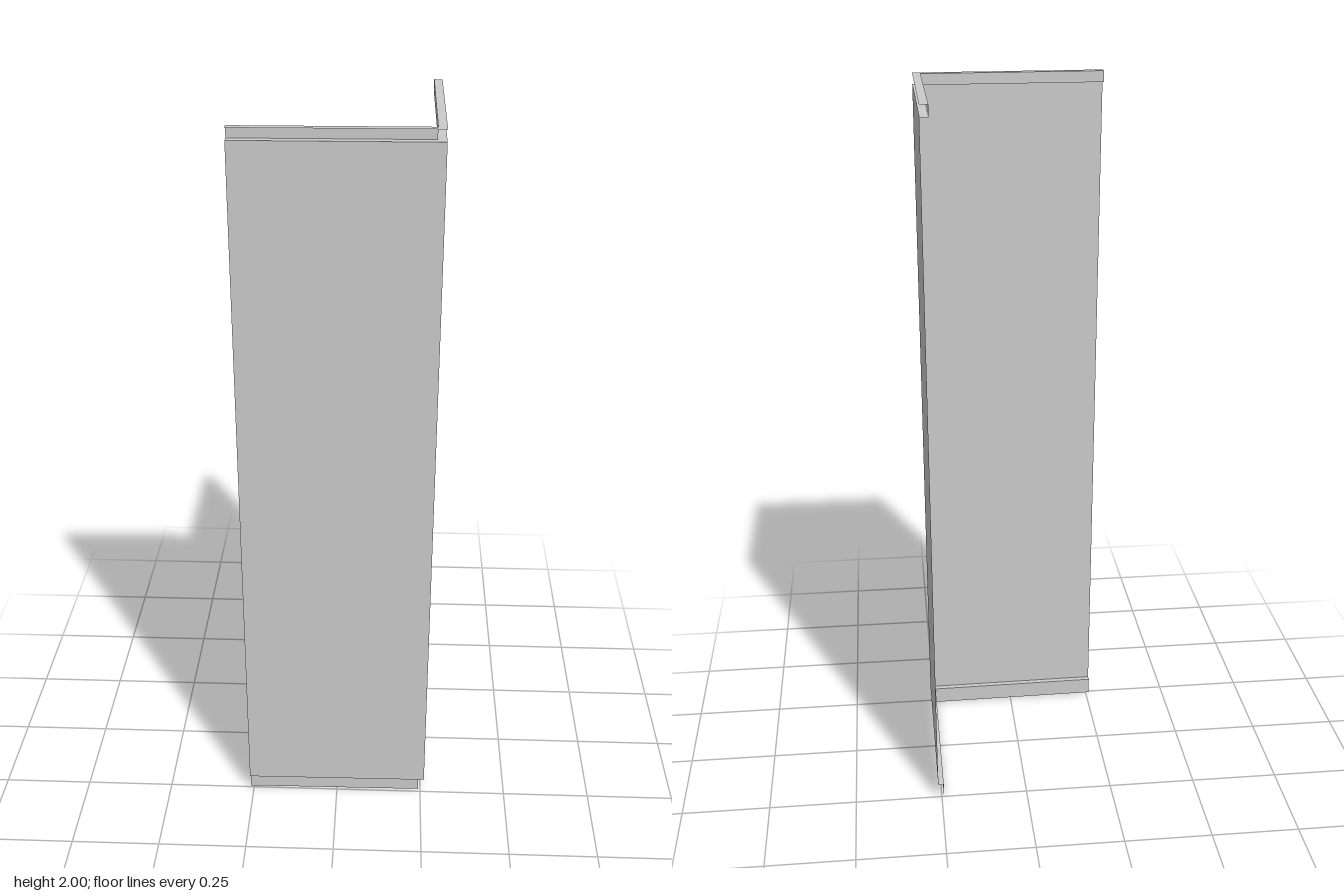
import * as THREE from 'three';

// Plan of the sheet's outer line (x, z) and the inward direction at each point
const path = [
  { x: -0.26, z: 0.26, ix: 0, iz: -1 },
  { x: 0.26, z: 0.255, ix: -1, iz: -1 },
  { x: 0.26, z: -0.26, ix: -1, iz: 0 },
];

// Folded section from top to bottom: inset from the outer line, height
const section = [
  [0, 2], [0.022, 2], [0.022, 1.97], [0, 1.97],
  [0, 0.05], [0.016, 0.05], [0.016, 0],
];
const names = ['topFlange', 'topLip', 'topLedge', 'panel', 'bottomLedge', 'plinth'];
const wings = ['front', 'side'];

export function createModel() {
  const group = new THREE.Group();
  group.name = 'cornerPanel';
  const material = new THREE.MeshStandardMaterial({
    color: 0xcccccc, side: THREE.DoubleSide, flatShading: true,
  });
  const point = (p, [inset, y]) => [p.x + p.ix * inset, y, p.z + p.iz * inset];

  // One flat strip per fold on each wing of the corner
  wings.forEach((wing, w) => {
    const wingGroup = new THREE.Group();
    wingGroup.name = wing + 'Wing';
    names.forEach((name, i) => {
      const a = point(path[w], section[i]);
      const b = point(path[w], section[i + 1]);
      const c = point(path[w + 1], section[i + 1]);
      const d = point(path[w + 1], section[i]);
      const geometry = new THREE.BufferGeometry();
      geometry.setAttribute('position',
        new THREE.Float32BufferAttribute([a, b, c, a, c, d].flat(), 3));
      geometry.computeVertexNormals();
      const mesh = new THREE.Mesh(geometry, material);
      mesh.name = name;
      wingGroup.add(mesh);
    });
    group.add(wingGroup);
  });
  return group;
}
